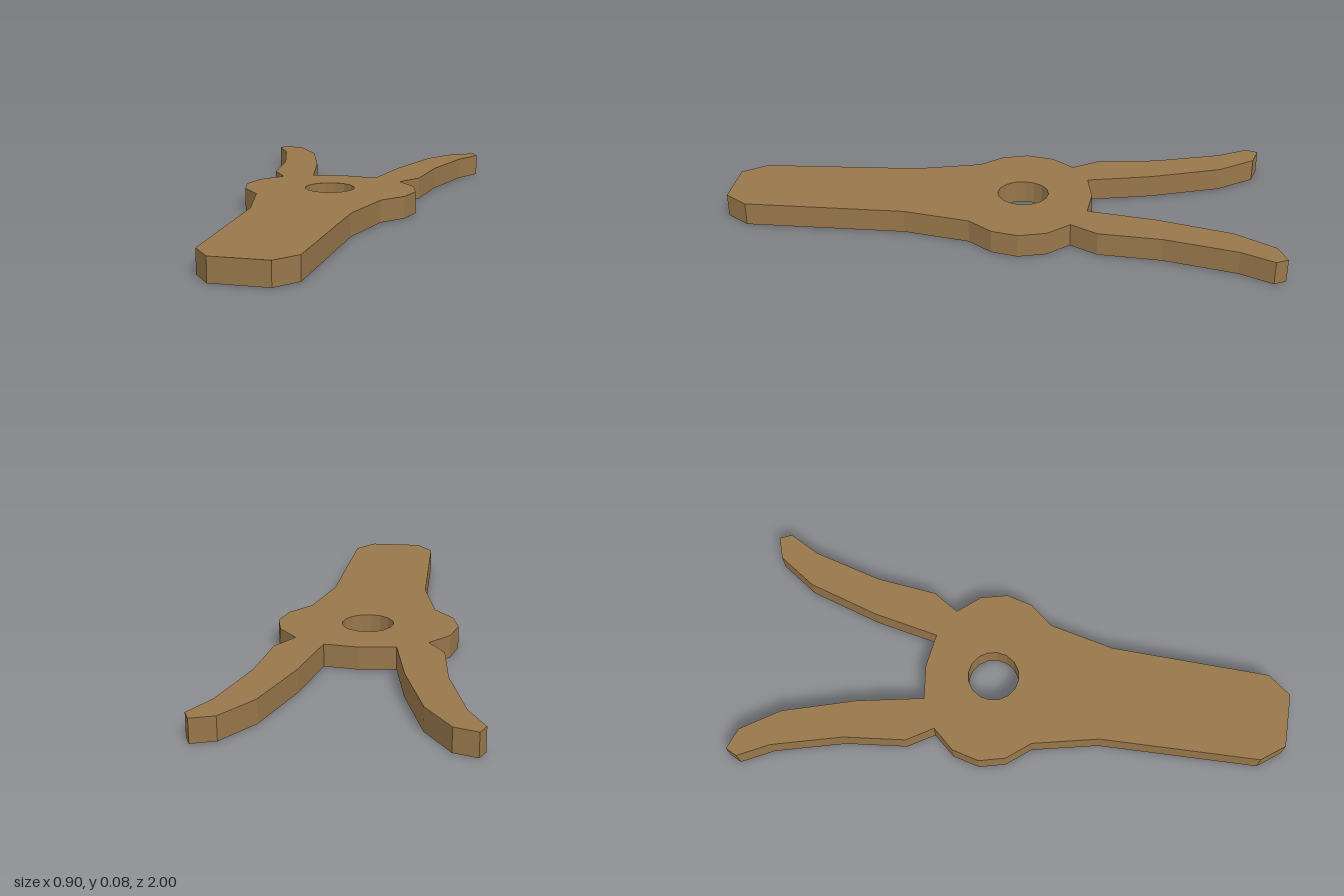
import * as THREE from 'three';

const THICKNESS = 0.083;

// Right half of the outline as [x, z], from the blunt end round to the fork
const half = [
  [0.10, 1.0], [0.165, 0.915], [0.18, 0.33], [0.235, 0.09],
  [0.305, 0.005], [0.33, -0.09], [0.305, -0.19], [0.235, -0.27],
  [0.295, -0.365], [0.32, -0.59], [0.39, -0.845], [0.45, -0.957],
  [0.43, -1.0], [0.35, -0.973], [0.257, -0.835], [0.175, -0.57],
  [0.127, -0.328],
];

export function createModel() {
  const wood = new THREE.MeshStandardMaterial({ color: 0x98774b });
  wood.name = 'wood brown';

  // Full outline: right half, middle of the fork, mirrored half
  const mirrored = half.map(([x, z]) => [-x, z]).reverse();
  const outline = [...half, [0, -0.345], ...mirrored];
  const shape = new THREE.Shape(outline.map(([x, z]) => new THREE.Vector2(x, -z)));

  // Round pivot hole
  const hole = new THREE.Path();
  hole.absarc(0, 0.09, 0.094, 0, Math.PI * 2, true);
  shape.holes.push(hole);

  // Lay the plate flat with its underside on y = 0
  const geometry = new THREE.ExtrudeGeometry(shape, {
    depth: THICKNESS, bevelEnabled: false, curveSegments: 8,
  });
  geometry.rotateX(-Math.PI / 2);

  const plate = new THREE.Mesh(geometry, wood);
  plate.name = 'forkedPlate';

  const model = new THREE.Group();
  model.name = 'forkedPeg';
  model.add(plate);
  return model;
}
